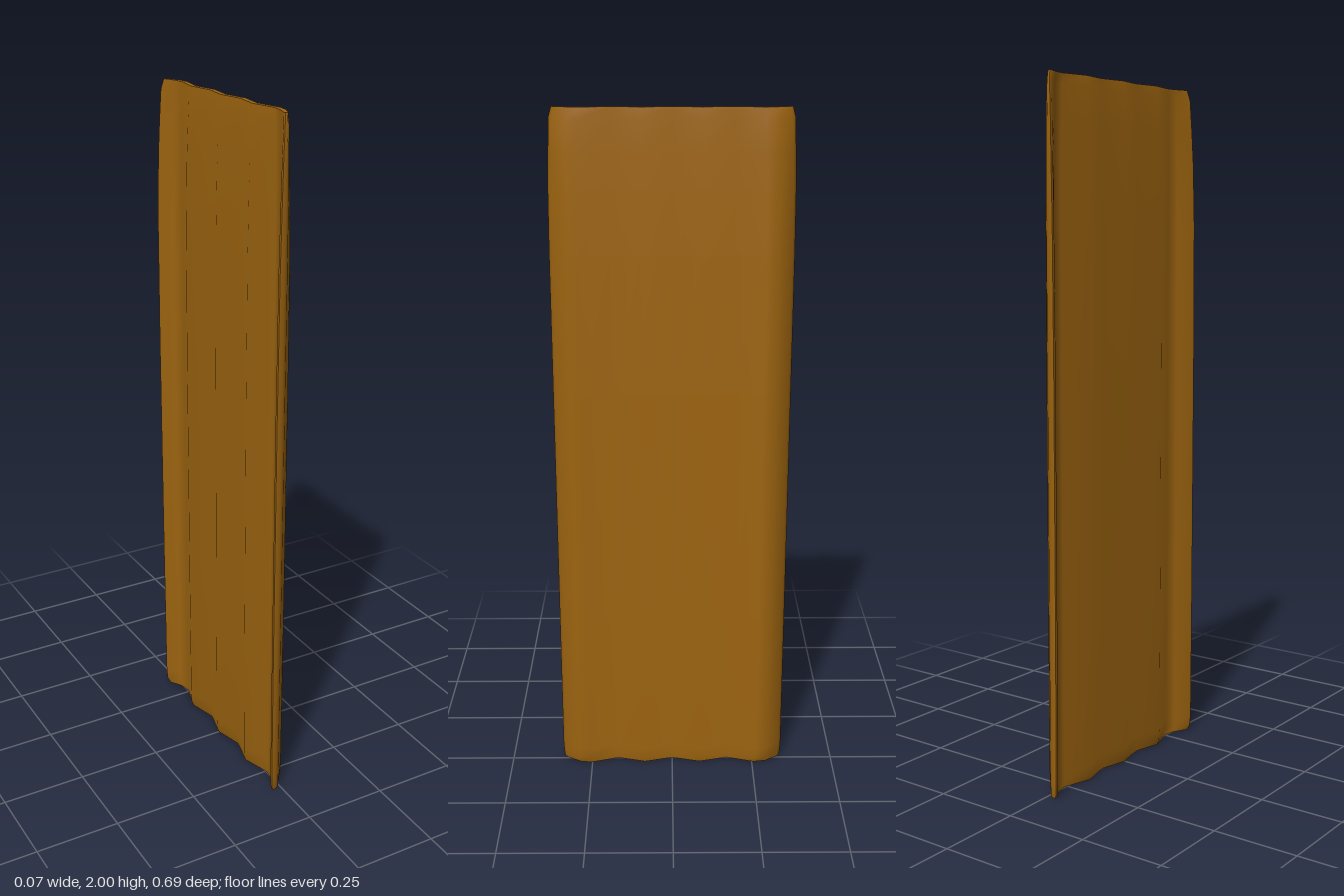
import * as THREE from 'three';
import { toCreasedNormals } from 'three/addons/utils/BufferGeometryUtils.js';

// Horizontal cross-section of the folds: [z, x of the +x face, x of the -x face]
const folds = [
  [-0.343, -0.022, -0.036], [-0.335, -0.008, -0.036], [-0.298, 0.026, -0.006],
  [-0.26, 0.035, 0.003], [-0.174, 0.0, -0.032], [-0.087, 0.031, -0.003],
  [0, 0.0, -0.032], [0.086, 0.031, -0.003], [0.172, 0.0, -0.032],
  [0.258, 0.035, 0.003], [0.292, 0.028, -0.005], [0.335, -0.008, -0.036],
  [0.343, -0.022, -0.036],
];

// Levels up the panel: [y, x scale, z scale]
const levels = [
  [0, 0.75, 0.985], [0.015, 0.92, 0.995], [0.05, 0.97, 1], [0.5, 1, 1], [1.2, 1, 1],
  [1.6, 0.95, 1], [1.78, 0.84, 0.995], [1.88, 0.73, 0.985], [1.97, 0.6, 0.975], [2, 0.45, 0.95],
];

function panelGeometry() {
  const outline = [
    ...folds.map(([z, front]) => [front, z]),
    ...folds.map(([z, , back]) => [back, z]).reverse(),
  ];
  const n = outline.length;
  const positions = [];
  const index = [];
  for (const [y, sx, sz] of levels) {
    for (const [x, z] of outline) positions.push(x * sx, y, z * sz);
  }
  // Walls
  for (let j = 0; j < levels.length - 1; j++) {
    for (let i = 0; i < n; i++) {
      const a = j * n + i;
      const b = j * n + ((i + 1) % n);
      index.push(a, a + n, b, b, a + n, b + n);
    }
  }
  // Bottom and top edges, bridged from face to face
  const top = (levels.length - 1) * n;
  for (let i = 0; i < folds.length - 1; i++) {
    const f = i, g = i + 1, h = n - 2 - i, k = n - 1 - i;
    index.push(f, g, h, f, h, k);
    index.push(top + f, top + h, top + g, top + f, top + k, top + h);
  }
  const geometry = new THREE.BufferGeometry();
  geometry.setAttribute('position', new THREE.Float32BufferAttribute(positions, 3));
  geometry.setIndex(index);
  return toCreasedNormals(geometry, 0.9);
}

export function createModel() {
  const group = new THREE.Group();
  group.name = 'foldedCurtain';
  const ochre = new THREE.MeshStandardMaterial({ color: 0x9e6510 });
  ochre.name = 'ochre cloth';
  const panel = new THREE.Mesh(panelGeometry(), ochre);
  panel.name = 'pleatedPanel';
  group.add(panel);
  return group;
}
